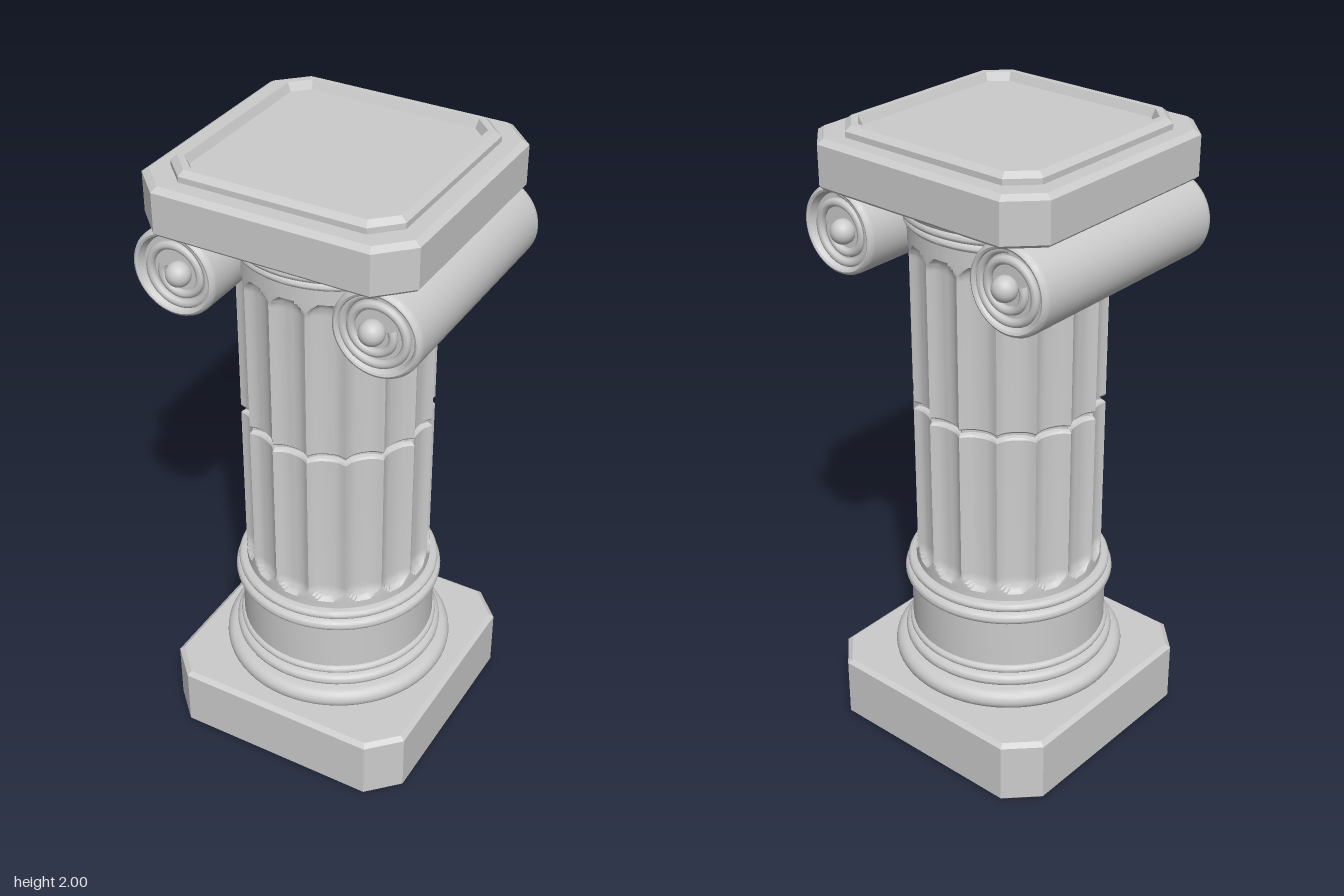
import * as THREE from 'three';
import { toCreasedNormals } from 'three/addons/utils/BufferGeometryUtils.js';

const material = new THREE.MeshStandardMaterial({ color: 0xcccccc });
const CX = -0.006; // axis of the column

function part(name, geometry, x = 0, y = 0, z = 0) {
  const mesh = new THREE.Mesh(geometry, material);
  mesh.name = name;
  mesh.position.set(x, y, z);
  return mesh;
}

// Skin a stack of closed loops (counterclockwise from above), optionally capping both ends
function skin(loops, crease, capped) {
  const n = loops[0].length, pos = loops.flat(2), idx = [];
  for (let j = 0; j < loops.length - 1; j++)
    for (let i = 0; i < n; i++) {
      const a = j * n + i, b = j * n + (i + 1) % n;
      idx.push(a, b, b + n, a, b + n, a + n);
    }
  if (capped) {
    const top = (loops.length - 1) * n;
    for (let i = 1; i < n - 1; i++) idx.push(0, i + 1, i, top, top + i, top + i + 1);
  }
  const g = new THREE.BufferGeometry();
  g.setAttribute('position', new THREE.Float32BufferAttribute(pos, 3));
  g.setIndex(idx);
  return toCreasedNormals(g, crease);
}

// Square slab with cut corners; rows are [half width, y], cut is the corner size at the first full width
function slab(rows, half, cut) {
  return skin(rows.map(([h, y]) => {
    const k = h - (cut - (half - h) * 0.586);
    return [[h, k], [k, h], [-k, h], [-h, k], [-h, -k], [-k, -h], [k, -h], [h, -k]]
      .map(([x, up]) => [x, y, -up]);
  }), 0.1, true);
}

function lathe(points, segments = 64) {
  return toCreasedNormals(
    new THREE.LatheGeometry(points.map(p => new THREE.Vector2(p[0], p[1])), segments), 0.6);
}

// Half-round moulding from y0 to y1, reaching radius r
function bead(r, y0, y1, bulge = (y1 - y0) / 2) {
  return Array.from({ length: 11 }, (_, i) => {
    const a = -Math.PI / 2 + Math.PI * i / 10;
    return [r - bulge + bulge * Math.cos(a), (y0 + y1) / 2 + (y1 - y0) / 2 * Math.sin(a)];
  });
}

// Sixteen shallow flutes with rounded ends and a groove at the drum joint
function flutedShaft() {
  const R = 0.292, depth = 0.024, flutes = 16, steps = 12;
  const y0 = 0.605, y1 = 1.665, end = 0.05, joint = 1.14;
  const rows = [[0.57, 0]];
  for (let i = 0; i <= 6; i++) rows.push([y0 + end * i / 6, 0]);
  rows.push([joint - 0.014, 0], [joint - 0.008, 0.005], [joint - 0.005, 0.016],
    [joint + 0.005, 0.016], [joint + 0.008, 0.005], [joint + 0.014, 0]);
  for (let i = 6; i >= 0; i--) rows.push([y1 - end * i / 6, 0]);
  rows.push([1.72, 0]);
  const loops = rows.map(([y, inset]) => {
    const e = Math.max(0, 1 - (y - y0) / end, 1 - (y1 - y) / end);
    return Array.from({ length: flutes * steps }, (_, i) => {
      const t = ((i % steps) / steps * 2 - 1) / 0.9;
      const r = R - inset - depth * Math.sqrt(Math.max(0, 1 - t * t - e * e));
      const a = (i / steps - 0.5) / flutes * Math.PI * 2;
      return [r * Math.cos(a), y, -r * Math.sin(a)];
    });
  });
  return skin(loops, 0.5, false);
}

// Scroll roll with a recessed face, spiral ridge and round eye at both ends
function scroll(side) {
  const g = new THREE.Group();
  g.name = side > 0 ? 'leftScroll' : 'rightScroll';
  const r = 0.133;
  const half = [[0, 0.345], [0.106, 0.345], [0.11, 0.36], [0.115, 0.369], [0.121, 0.372],
    [0.128, 0.368], [0.132, 0.36], [r, 0.35]];
  const roll = lathe([...half.map(([x, y]) => [x, -y]), ...half.reverse()], 48);
  g.add(part('scrollRoll', roll.rotateX(Math.PI / 2)));

  const pts = Array.from({ length: 61 }, (_, i) => {
    const t = i / 60, a = Math.PI / 2 + t * Math.PI * 3.6;
    const rad = 0.112 - 0.058 * t;
    return new THREE.Vector3(side * (Math.cos(a) * rad - 0.012 * t), Math.sin(a) * rad, 0);
  });
  const spiral = new THREE.TubeGeometry(new THREE.CatmullRomCurve3(pts), 120, 0.013, 8);
  for (const z of [-1, 1]) {
    g.add(part('scrollSpiral', spiral, 0, 0, z * 0.352));
    g.add(part('scrollEye', new THREE.SphereGeometry(0.037, 24, 16), -side * 0.014, 0, z * 0.361));
  }
  g.position.set(side * 0.313 - 0.002, 1.691, 0);
  return g;
}

export function createModel() {
  const group = new THREE.Group();
  group.name = 'column';

  // Plinth with bevelled edges
  group.add(part('plinth', slab([[0.406, 0], [0.418, 0.012], [0.418, 0.205], [0.403, 0.217]], 0.418, 0.092), CX));

  // Base mouldings and plain drum
  group.add(part('base', lathe([
    ...bead(0.366, 0.215, 0.28),
    ...bead(0.332, 0.283, 0.322),
    ...bead(0.318, 0.324, 0.35),
    [0.308, 0.352], [0.308, 0.512],
    ...bead(0.328, 0.512, 0.55),
    ...bead(0.318, 0.552, 0.58),
    [0.27, 0.582],
  ]), CX));

  group.add(part('flutedShaft', flutedShaft(), CX));

  // Flaring rings below the top slab
  group.add(part('neckRings', lathe([
    [0.28, 1.705],
    ...bead(0.302, 1.71, 1.735),
    ...bead(0.312, 1.737, 1.765),
    ...bead(0.326, 1.767, 1.797),
    [0.32, 1.8], [0.335, 1.815], [0.335, 1.83],
  ]), CX));

  group.add(scroll(1), scroll(-1));

  // Top slab and its raised rim around a sunken panel
  group.add(part('topSlab', slab([[0.408, 1.825], [0.418, 1.835], [0.418, 1.955], [0.399, 1.968]], 0.418, 0.092), CX));
  group.add(part('topRim', slab([[0.354, 1.965], [0.354, 1.985], [0.337, 2], [0.318, 2], [0.307, 1.975]],
    0.354, 0.073), CX));
  return group;
}
